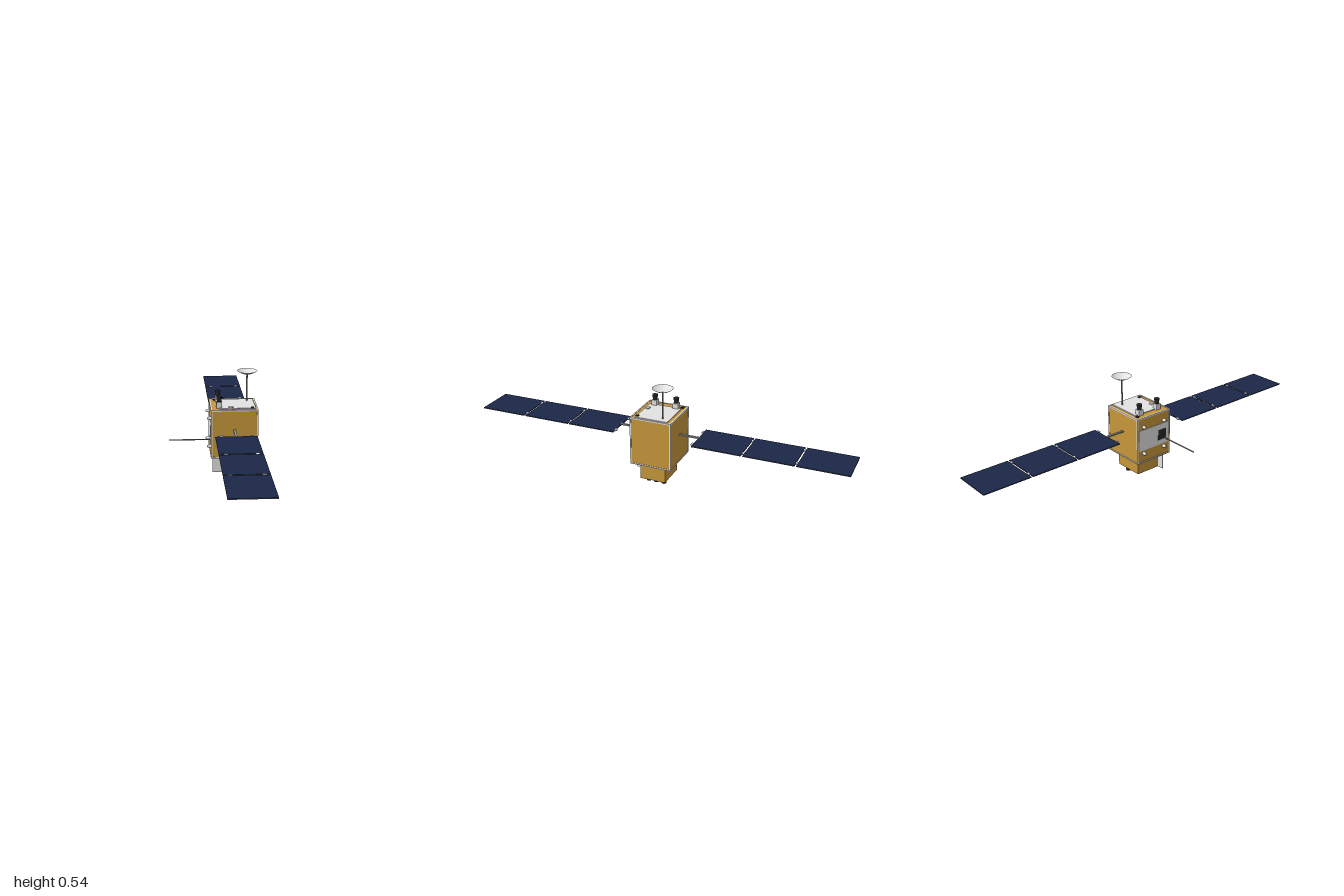
import * as THREE from 'three';

const paint = (name, color, side = THREE.FrontSide) => {
  const m = new THREE.MeshStandardMaterial({ color, side });
  m.name = name;
  return m;
};

export function createModel() {
  const gold = paint('gold foil', 0xc8983a);
  const light = paint('light grey', 0xe2e2e2);
  const lightOpen = paint('light grey shell', 0xe2e2e2, THREE.DoubleSide);
  const grey = paint('mid grey metal', 0x969696);
  const black = paint('black', 0x282828);
  const navy = paint('navy solar cell', 0x1c2748);
  const dark = paint('dark panel backing', 0x5a5a5a);

  const model = new THREE.Group();
  model.name = 'satellite';
  const add = (name, geometry, material, x, y, z, parent = model) => {
    const mesh = new THREE.Mesh(geometry, material);
    mesh.name = name;
    mesh.position.set(x, y, z);
    parent.add(mesh);
    return mesh;
  };
  // box given by its extents on each axis
  const box = (name, mat, [x0, x1], [y0, y1], [z0, z1], parent) =>
    add(name, new THREE.BoxGeometry(x1 - x0, y1 - y0, z1 - z0), mat,
      (x0 + x1) / 2, (y0 + y1) / 2, (z0 + z1) / 2, parent);
  const cyl = (name, mat, rTop, rBottom, h, x, y, z, open = false) =>
    add(name, new THREE.CylinderGeometry(rTop, rBottom, h, 24, 1, open), mat, x, y, z);

  // main body with foil faces and a frame along its twelve edges
  const X = [-0.018, 0.224], Y = [0.119, 0.377], Z = [-0.111, 0.111], t = 0.007;
  const inset = ([a, b], d) => [a + d, b - d];
  box('body', gold, inset(X, 0.002), inset(Y, 0.002), inset(Z, 0.002));
  const frame = new THREE.Group();
  frame.name = 'bodyFrame';
  model.add(frame);
  const ends = ([a, b]) => [[a, a + t], [b - t, b]];
  for (const i of [0, 1]) for (const j of [0, 1]) {
    box('frameBarX', light, X, ends(Y)[i], ends(Z)[j], frame);
    box('frameBarY', light, ends(X)[i], inset(Y, t), ends(Z)[j], frame);
    box('frameBarZ', light, ends(X)[i], ends(Y)[j], inset(Z, t), frame);
  }

  // lower module, side plate, small horn and three bottom lenses
  box('lowerModule', gold, [0.032, 0.192], [0.028, 0.121], [-0.068, 0.07]);
  box('sidePlate', light, [-0.007, 0.077], [0.03, 0.114], [0.07, 0.074]);
  cyl('frontHorn', lightOpen, 0.003, 0.011, 0.024, 0.187, 0.108, 0.079, true);
  for (const z of [-0.042, 0, 0.042]) {
    cyl('bottomLens', black, 0.014, 0.014, 0.022, 0.145, 0.02, z);
    cyl('bottomLensRim', black, 0.014, 0.012, 0.009, 0.145, 0.0045, z);
  }

  // roof plate and its fittings
  box('roofPlate', light, [0.026, 0.213], [0.375, 0.3795], [-0.088, 0.086]);
  box('roofSensorFront', black, [0.188, 0.203], [0.377, 0.3825], [0.073, 0.088]);
  box('roofSensorBack', black, [0.003, 0.017], [0.375, 0.3815], [-0.094, -0.08]);
  cyl('roofDisc', light, 0.013, 0.013, 0.008, 0.086, 0.381, 0.073);
  for (const z of [-0.06, 0.058]) {
    box('starTrackerBase', light, [0.0125, 0.0415], [0.376, 0.407], [z - 0.014, z + 0.014]);
    cyl('starTrackerHood', black, 0.015, 0.011, 0.028, 0.027, 0.421, z);
  }

  // dish antenna on a mast
  const dishX = 0.179, dishZ = -0.051;
  cyl('dishMast', grey, 0.004, 0.004, 0.148, dishX, 0.449, dishZ);
  const bowl = [];
  for (let i = 0; i <= 8; i++) {
    bowl.push(new THREE.Vector2(0.053 * i / 8, 0.02 * (i / 8) ** 2));
  }
  add('dish', new THREE.LatheGeometry(bowl, 32), lightOpen, dishX, 0.522, dishZ);

  // equipment side: radiator, vent, four nozzles and a rod antenna
  box('radiator', light, [-0.018, -0.014], [0.19, 0.308], [-0.098, 0.1]);
  box('vent', black, [-0.0188, -0.0165], [0.217, 0.275], [0.03, 0.082]);
  for (const y of [0.172, 0.323]) for (const z of [-0.068, 0.068]) {
    cyl('nozzle', light, 0.005, 0.01, 0.022, -0.025, y, z).rotation.z = Math.PI / 2;
  }
  box('rodAntenna', grey, [-0.233, -0.015], [0.2115, 0.2165], [0.0795, 0.0845]);

  // solar wings, three panels on each side
  for (const s of [1, -1]) {
    const wing = new THREE.Group();
    wing.name = s > 0 ? 'frontWing' : 'backWing';
    model.add(wing);
    const span = (a, b) => (s > 0 ? [a, b] : [-b, -a]);
    box('boom', grey, [0.096, 0.108], [0.267, 0.2745], span(0.107, 0.222), wing);
    for (let i = 0; i < 3; i++) {
      const start = 0.214 + i * 0.265;
      const length = span(start, start + 0.256);
      box('panelBacking', dark, [-0.003, 0.208], [0.267, 0.271], length, wing);
      box('solarCells', navy, [-0.003, 0.208], [0.271, 0.272], length, wing);
      for (const x of [0.03, 0.18]) {
        box('hinge', light, [x - 0.009, x + 0.009], [0.267, 0.274],
          span(start - 0.0085, start + 0.0005), wing);
      }
    }
  }
  return model;
}
